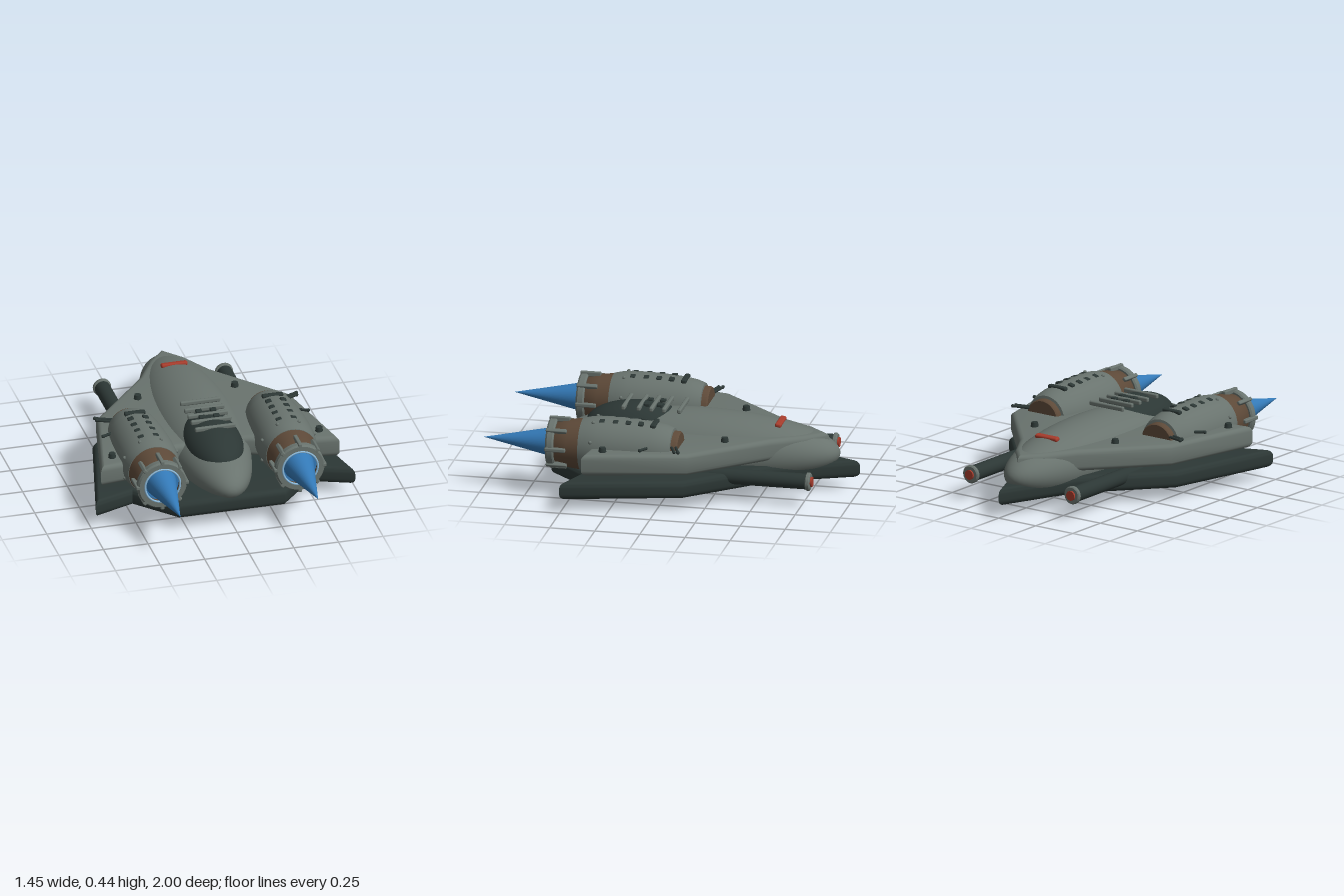
import * as THREE from 'three';
import { toCreasedNormals } from 'three/addons/utils/BufferGeometryUtils.js';
import { RoundedBoxGeometry } from 'three/addons/geometries/RoundedBoxGeometry.js';

const mat = (name, color, side = THREE.FrontSide) => {
  const m = new THREE.MeshStandardMaterial({ color, side });
  m.name = name;
  return m;
};

export function createModel() {
  const hull = mat('hull grey', 0x69736e);
  const dark = mat('dark armour', 0x2c3735);
  const brown = mat('engine brown', 0x5d4938, THREE.DoubleSide);
  const blue = mat('flame blue', 0x347ab8);
  const pale = mat('pale blue glow', 0x8dbbdc);
  const red = mat('signal red', 0xa63c2c);

  const model = new THREE.Group();
  model.name = 'spacecraft';

  const add = (parent, name, geometry, material, x = 0, y = 0, z = 0) => {
    const mesh = new THREE.Mesh(geometry, material);
    mesh.name = name;
    mesh.position.set(x, y, z);
    parent.add(mesh);
    return mesh;
  };

  // Bevelled horizontal slab from half an outline of [x, z] points
  const slab = (half, y0, y1, bevel) => {
    const mirrored = half.filter(p => p[0] > 0).reverse().map(([x, z]) => [-x, z]);
    const shape = new THREE.Shape([...half, ...mirrored].map(p => new THREE.Vector2(...p)));
    const g = new THREE.ExtrudeGeometry(shape, {
      depth: y1 - y0 - 2 * bevel, bevelThickness: bevel, bevelSize: bevel,
      bevelOffset: -bevel, bevelSegments: 5,
    });
    g.rotateX(Math.PI / 2).translate(0, y1 - bevel, 0);
    return toCreasedNormals(g, 0.6);
  };

  // Turned part along z from [radius, z] points
  const turned = (points, sides = 40) => {
    const g = new THREE.LatheGeometry(points.map(p => new THREE.Vector2(...p)), sides);
    return toCreasedNormals(g.rotateX(Math.PI / 2), 0.6);
  };

  const ellipsoid = (rx, ry, rz) => new THREE.SphereGeometry(1, 48, 32).rotateX(Math.PI / 2).scale(rx, ry, rz);

  // Lower armour plate, upper wing and fuselage
  add(model, 'lowerPlate', slab(
    [[0, -1], [0.2, -0.56], [0.568, -0.145], [0.727, 0.508], [0.5, 0.43], [0.3, 0.645]],
    0.066, 0.163, 0.032), dark);
  add(model, 'upperWing', slab(
    [[0, -0.83], [0.1, -0.72], [0.2, -0.55], [0.545, -0.16], [0.668, 0.4], [0.42, 0.37], [0.2, 0.27]],
    0.19, 0.31, 0.03), hull);
  add(model, 'fuselage', ellipsoid(0.24, 0.195, 0.772), hull, 0, 0.195, -0.117);

  // Canopy with slats and small vents
  add(model, 'canopy', ellipsoid(0.163, 0.142, 0.296), dark, 0, 0.272, 0.224);
  for (const z of [-0.02, 0.065, 0.135, 0.205, 0.29]) {
    add(model, 'canopySlat', new RoundedBoxGeometry(0.226, 0.026, 0.022, 2, 0.008), hull, 0, 0.405, z);
  }
  for (const z of [0.1, 0.17]) for (const x of [-0.04, 0.04]) {
    add(model, 'canopyVent', new RoundedBoxGeometry(0.035, 0.016, 0.03, 2, 0.005), dark, x, 0.412, z);
  }
  const lamp = add(model, 'noseLamp', new RoundedBoxGeometry(0.148, 0.024, 0.036, 3, 0.01), red, 0, 0.352, -0.56);
  lamp.rotation.x = -0.18;

  const buildNacelle = side => {
    const n = new THREE.Group();
    n.name = side > 0 ? 'leftEngine' : 'rightEngine';
    n.position.set(side * 0.386, 0.28, 0);

    add(n, 'intakeBand', turned([[0, -0.09], [0.1, -0.09], [0.106, -0.082], [0.11, 0]]), brown);
    add(n, 'engineCasing', turned([[0.1, -0.055], [0.122, -0.052], [0.138, -0.01], [0.148, 0.05],
      [0.156, 0.14], [0.161, 0.26], [0.16, 0.35], [0.153, 0.41], [0.143, 0.452], [0.1, 0.455]]), hull);
    add(n, 'exhaustCone', turned([[0.142, 0.44], [0.132, 0.52], [0.118, 0.6], [0.1, 0.62], [0.098, 0.57]]), brown);

    // Exhaust ring with ribs and rivets
    add(n, 'exhaustRing', turned([[0.102, 0.59], [0.13, 0.588], [0.138, 0.596], [0.138, 0.624],
      [0.13, 0.634], [0.104, 0.634], [0.102, 0.59]]), hull);
    for (let i = 0; i < 8; i++) {
      const a = i * Math.PI / 4;
      const rib = add(n, 'exhaustRib', new RoundedBoxGeometry(0.022, 0.028, 0.115, 2, 0.006), hull,
        Math.sin(a) * 0.134, Math.cos(a) * 0.134, 0.577);
      rib.rotation.z = -a;
      const b = a + Math.PI / 8;
      add(n, 'casingRivet', new THREE.SphereGeometry(0.01, 10, 8), hull,
        Math.sin(b) * 0.158, Math.cos(b) * 0.158, 0.38);
    }

    // Glowing exhaust
    add(n, 'glowRim', new THREE.TorusGeometry(0.098, 0.006, 8, 40), pale, 0, 0, 0.632);
    add(n, 'glowDisc', new THREE.CircleGeometry(0.1, 40), blue, 0, 0, 0.6);
    add(n, 'flame', new THREE.ConeGeometry(0.084, 0.4, 40).rotateX(Math.PI / 2), blue, 0, 0, 0.8);

    // Vents over the top
    add(n, 'longVent', new RoundedBoxGeometry(0.118, 0.022, 0.03, 2, 0.008), dark, 0, 0.145, 0.052);
    for (const z of [0.12, 0.19, 0.26, 0.335]) for (const s of [-1, 1]) {
      const vent = add(n, 'vent', new RoundedBoxGeometry(0.034, 0.018, 0.03, 2, 0.006), dark, s * 0.041, 0.149, z);
      vent.rotation.z = -s * 0.26;
    }
    model.add(n);
  };

  const buildCannon = side => {
    const c = new THREE.Group();
    c.name = side > 0 ? 'leftCannon' : 'rightCannon';
    c.position.set(side * 0.342, 0.14, 0);
    const rod = (r, z0, z1) => new THREE.CylinderGeometry(r, r, z1 - z0, 28).rotateX(Math.PI / 2)
      .translate(0, 0, (z0 + z1) / 2);
    add(c, 'barrel', rod(0.043, -0.79, -0.2), dark);
    add(c, 'muzzleRing', turned([[0, -0.802], [0.044, -0.802], [0.05, -0.796], [0.05, -0.782], [0.042, -0.776]], 28), hull);
    add(c, 'muzzleTip', rod(0.027, -0.812, -0.79), red);
    model.add(c);
  };

  for (const side of [-1, 1]) {
    buildNacelle(side);
    buildCannon(side);

    // Bolts on the wing
    for (const [x, z] of [[0.272, -0.31], [0.58, 0.3]]) {
      add(model, 'wingBolt', new THREE.CylinderGeometry(0.018, 0.023, 0.03, 8), dark, side * x, 0.32, z);
    }
    // Thin antenna rods reaching outward
    for (const [x0, z0, x1, z1] of [[0.45, -0.075, 0.565, -0.115], [0.45, -0.05, 0.56, -0.092],
      [0.48, 0.045, 0.575, 0.095]]) {
      const path = new THREE.LineCurve3(new THREE.Vector3(side * x0, 0.325, z0), new THREE.Vector3(side * x1, 0.33, z1));
      add(model, 'antennaRod', new THREE.TubeGeometry(path, 1, 0.008, 8), dark);
      add(model, 'antennaTip', new THREE.SphereGeometry(0.01, 10, 8), dark, side * x1, 0.33, z1);
    }
  }
  return model;
}
